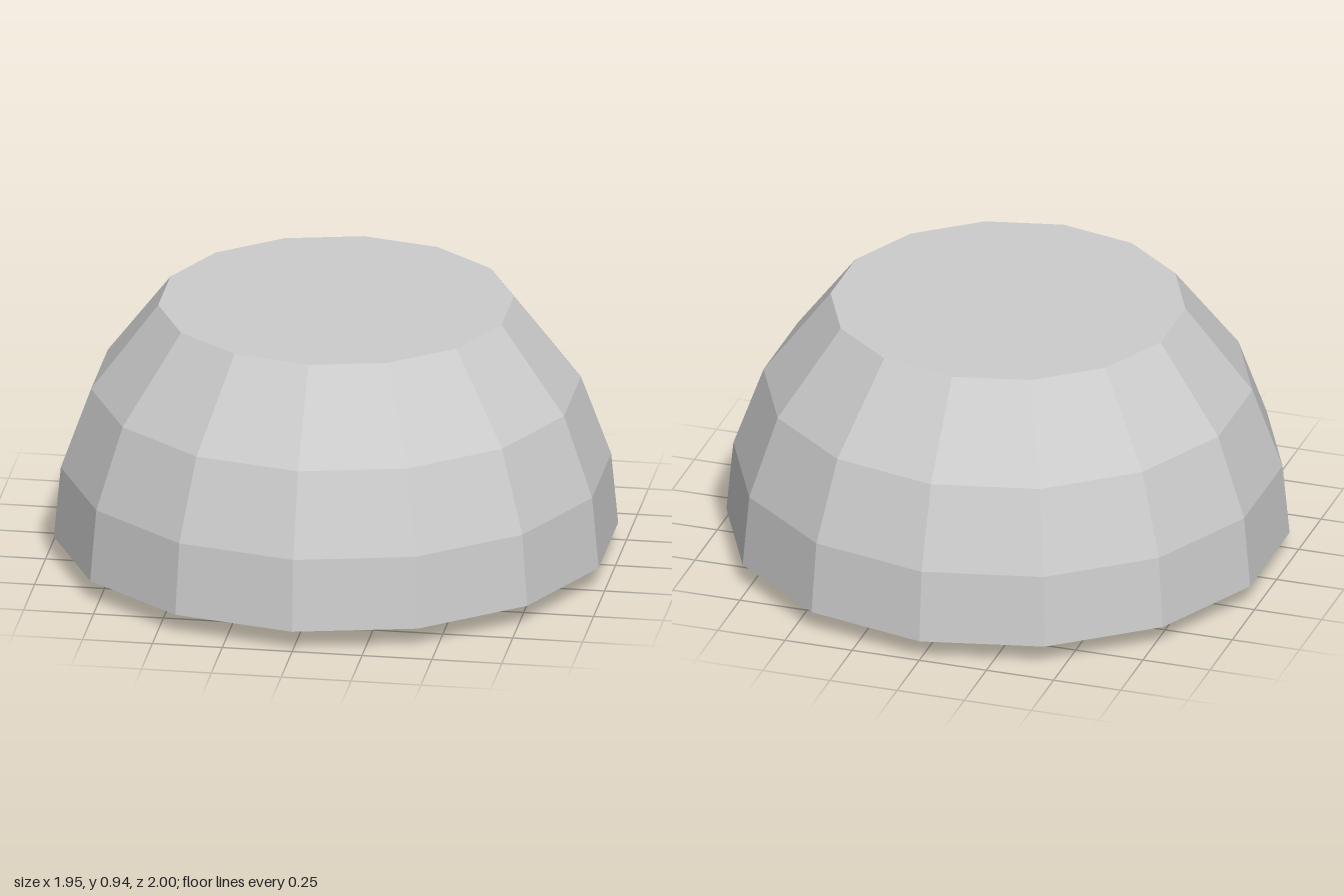
import * as THREE from 'three';

export function createModel() {
  const model = new THREE.Group();
  const grey = new THREE.MeshStandardMaterial({ color: 0xcccccc, flatShading: true, side: THREE.DoubleSide });
  grey.name = 'plainGrey';

  function add(name, geometry) {
    const mesh = new THREE.Mesh(geometry, grey);
    mesh.name = name;
    model.add(mesh);
    return mesh;
  }

  // Open-bottomed fourteen-sided shell with a flat top, from [radius, height] pairs
  function addDome(name, profile) {
    add(name, new THREE.LatheGeometry(profile.map(([r, y]) => new THREE.Vector2(r, y)), 14));
  }

  addDome('outerDome', [[1, 0.075], [0.975, 0.338], [0.868, 0.633], [0.63, 0.945], [0, 0.945]]);
  addDome('innerDome', [[0.757, 0], [0.755, 0.12], [0.72, 0.4], [0.61, 0.63], [0, 0.63]]);

  // Small plate in the middle of the opening
  add('innerPlate', new THREE.BoxGeometry(0.45, 0.008, 0.21)).position.set(-0.02, 0.065, -0.015);

  // Short flat web bridging the gap between the shells
  const web = new THREE.RingGeometry(0.75, 0.95, 3, 1, -1, 0.6);
  web.rotateX(Math.PI / 2);
  add('gapWeb', web).position.y = 0.12;

  return model;
}
